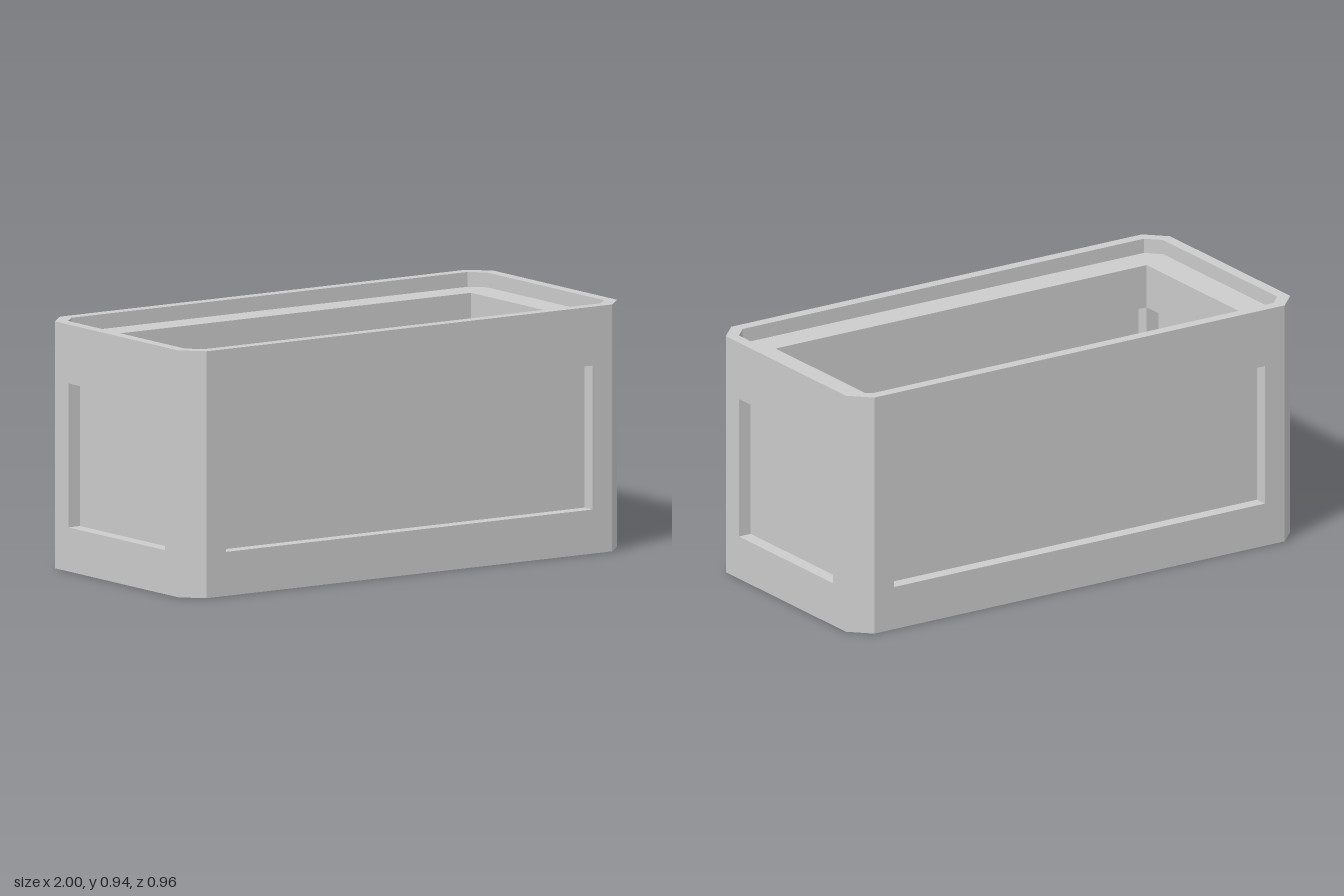
import * as THREE from 'three';
import { mergeGeometries } from 'three/addons/utils/BufferGeometryUtils.js';

const HX = 1, HZ = 0.478, H = 0.935, CHAMFER = 0.076; // outer body
const IX = 0.835, IZ = 0.314;                         // cavity and panel half sizes
const Y0 = 0.167, Y1 = 0.712, LEDGE = 0.879;          // panel bottom, panel top, ledge
const DEPTH = 0.053, LIP = 0.045;

const octagon = (x, z, c) => [
  [-x + c, -z], [x - c, -z], [x, -z + c], [x, z - c],
  [x - c, z], [-x + c, z], [-x, z - c], [-x, -z + c],
];
const rect = (x0, x1, y0, y1) => [[x0, y0], [x1, y0], [x1, y1], [x0, y1]];

// Flat face with a hole, facing +z
function holedFace(outer, hole) {
  const shape = new THREE.Shape(outer.map(p => new THREE.Vector2(...p)));
  shape.holes.push(new THREE.Path(hole.map(p => new THREE.Vector2(...p))));
  return new THREE.ShapeGeometry(shape);
}

// Sunken panel: opening at z = 0 facing +z, sinking to -d
function recess(w, h, d = DEPTH) {
  return mergeGeometries([
    new THREE.PlaneGeometry(w, h).translate(0, 0, -d),
    new THREE.PlaneGeometry(d, h).rotateY(Math.PI / 2).translate(-w / 2, 0, -d / 2),
    new THREE.PlaneGeometry(d, h).rotateY(-Math.PI / 2).translate(w / 2, 0, -d / 2),
    new THREE.PlaneGeometry(w, d).rotateX(-Math.PI / 2).translate(0, -h / 2, -d / 2),
    new THREE.PlaneGeometry(w, d).rotateX(Math.PI / 2).translate(0, h / 2, -d / 2),
  ]);
}

// Upright quads along a list of [x, z] points
function band(points, y0, y1, closed = true) {
  const pos = [];
  const n = closed ? points.length : points.length - 1;
  for (let i = 0; i < n; i++) {
    const [ax, az] = points[i], [bx, bz] = points[(i + 1) % points.length];
    pos.push(ax, y0, az, bx, y0, bz, bx, y1, bz, ax, y0, az, bx, y1, bz, ax, y1, az);
  }
  const g = new THREE.BufferGeometry();
  g.setAttribute('position', new THREE.Float32BufferAttribute(pos, 3));
  g.computeVertexNormals();
  return g;
}

export function createModel() {
  const root = new THREE.Group();
  root.name = 'planterBox';
  const grey = new THREE.MeshStandardMaterial({ color: 0xcccccc });
  grey.name = 'grey';
  const add = (name, geometry) => {
    const mesh = new THREE.Mesh(geometry, grey);
    mesh.name = name;
    root.add(mesh);
  };

  const body = octagon(HX, HZ, CHAMFER);
  const lipInner = octagon(HX - LIP, HZ - LIP, 0.052);
  const opening = rect(-IX, IX, -IZ, IZ);
  const midY = (Y0 + Y1) / 2, panelH = Y1 - Y0;

  // Four sides: outer frame with sunken panel, and matching recess inside
  const sides = [['front', 0], ['left', 1], ['back', 2], ['right', 3]];
  for (const [name, k] of sides) {
    const long = k % 2 === 0;
    const half = (long ? HX : HZ) - CHAMFER;
    const inner = long ? IX : IZ;
    const outDist = long ? HZ : HX, inDist = long ? IZ : IX;
    const a = k * Math.PI / 2;
    add(name + 'Frame', holedFace(rect(-half, half, 0, H), rect(-inner, inner, Y0, Y1))
      .translate(0, 0, outDist).rotateY(a));
    add(name + 'Panel', recess(2 * inner, panelH).translate(0, midY, outDist).rotateY(a));
    add(name + 'InnerPanel', recess(2 * inner, panelH)
      .translate(0, midY, -inDist).rotateY(a + Math.PI));
  }

  // Chamfered corners
  for (let i = 1; i < 8; i += 2) {
    add('cornerChamfer', band([body[(i + 1) % 8], body[i]], 0, H, false));
  }

  // Rim, ledge and the cavity wall above the panels
  add('rimTop', holedFace(body, lipInner).rotateX(-Math.PI / 2).translate(0, H, 0));
  add('rimInner', band(lipInner, LEDGE, H));
  add('ledge', holedFace(lipInner, opening).rotateX(-Math.PI / 2).translate(0, LEDGE, 0));
  add('cavityWall', band(opening, Y1, LEDGE));

  // Floor, sunken from inside and from below
  add('floor', recess(2 * IX, 2 * IZ).rotateX(-Math.PI / 2).translate(0, Y0, 0));
  add('bottomFrame', holedFace(body, opening).rotateX(Math.PI / 2));
  add('bottomPanel', recess(2 * IX, 2 * IZ).rotateX(Math.PI / 2));

  return root;
}
